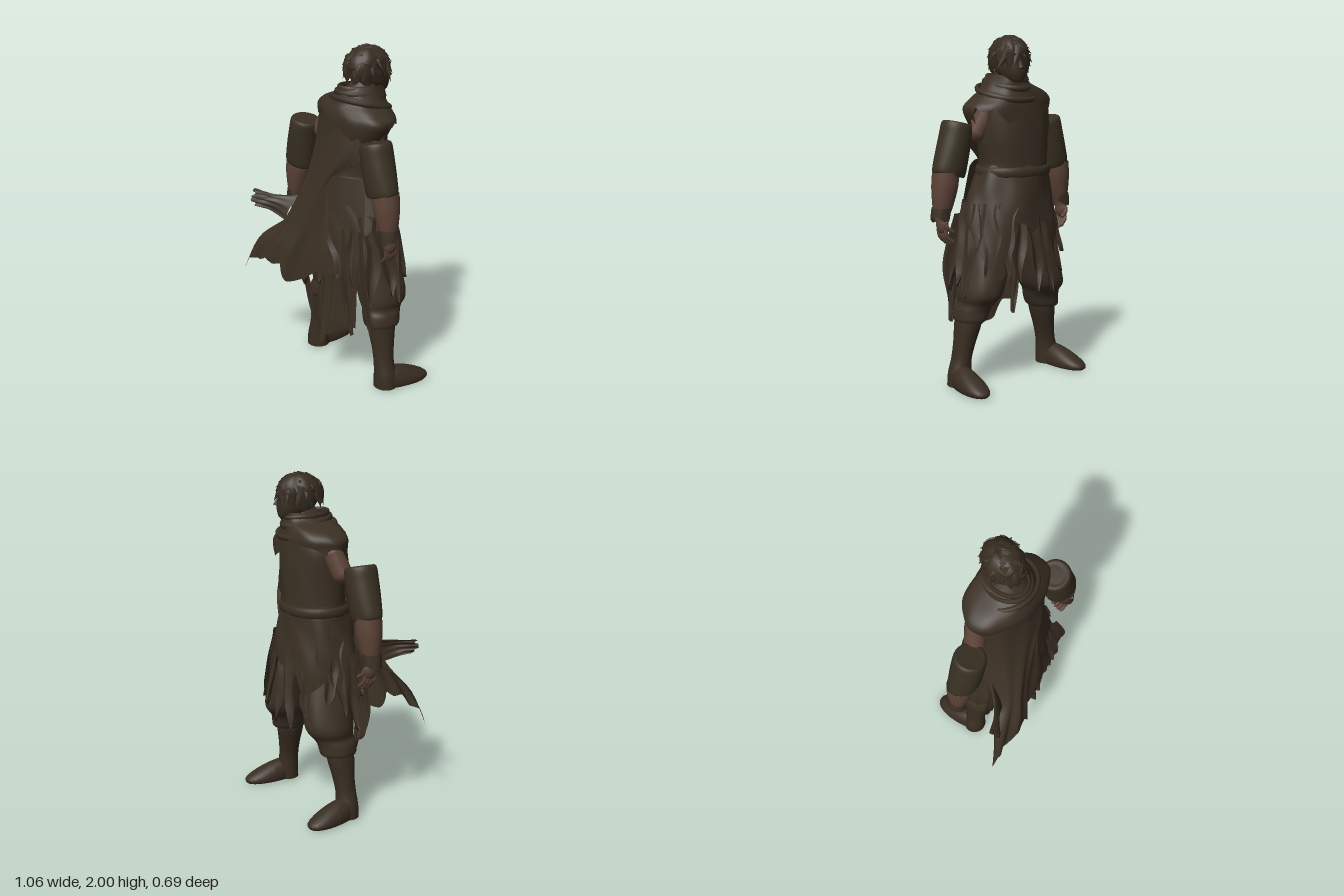
import * as THREE from 'three';
import { mergeVertices } from 'three/addons/utils/BufferGeometryUtils.js';

const mat = (name, color) => {
  const m = new THREE.MeshStandardMaterial({ color, side: THREE.DoubleSide });
  m.name = name;
  return m;
};

// Seeded random numbers
const hash = (n) => { const s = Math.sin(n * 127.1 + 3.7) * 43758.5453; return s - Math.floor(s); };
const noise = (t) => {
  const i = Math.floor(t), f = t - i;
  return hash(i) * (1 - f) + hash(i + 1) * f;
};

// Smooth interpolation through rows of numbers, t from 0 to 1
function spline(rows, t) {
  const n = rows.length - 1, x = Math.min(Math.max(t, 0), 1) * n;
  const i = Math.min(Math.floor(x), n - 1), f = x - i;
  const [a, b, c, d] = [i - 1, i, i + 1, i + 2].map((k) => rows[Math.min(Math.max(k, 0), n)]);
  return b.map((q, k) => q + 0.5 * f * (c[k] - a[k] +
    f * (2 * a[k] - 5 * q + 4 * c[k] - d[k] + f * (3 * (q - c[k]) + d[k] - a[k]))));
}

// Surface from a function of u and v
function surface(fn, nu, nv) {
  const pos = [], idx = [], w = nu + 1;
  for (let j = 0; j <= nv; j++) for (let i = 0; i <= nu; i++) pos.push(...fn(i / nu, j / nv));
  for (let j = 0; j < nv; j++) for (let i = 0; i < nu; i++) {
    const a = j * w + i;
    idx.push(a, a + 1, a + w, a + 1, a + w + 1, a + w);
  }
  let g = new THREE.BufferGeometry();
  g.setAttribute('position', new THREE.Float32BufferAttribute(pos, 3));
  g.setIndex(idx);
  g = mergeVertices(g, 1e-5);
  g.computeVertexNormals();
  return g;
}

// Rings [y, cx, cz, rx, rz] from top to bottom; folds ripple the sides, jag tears the hem
function loft(rings, { nu = 40, nv = 24, folds = 0, jag = 0, seed = 0, teeth = 18 } = {}) {
  return surface((u, v) => {
    const k = (u % 1) * teeth;
    const [y, cx, cz, rx, rz] = spline(rings, v * (1 - jag * noise(seed + k)));
    const a = u * Math.PI * 2;
    const r = 1 + folds * (Math.sin(a * 5 + y * 9 + seed) + 0.6 * Math.sin(a * 9 - y * 17));
    return [cx + Math.cos(a) * rx * r, y, cz + Math.sin(a) * rz * r];
  }, nu, nv);
}

// Cloth sheet through rows of [x, y, z] points, with a torn lower edge
function sheet(rows, { jag = 0.2, seed = 0, teeth = 14, nu = 56 } = {}) {
  return surface((u, v) => {
    const t = v * (1 - jag * noise(seed + u * teeth));
    const p = spline(rows.map((r) => spline(r, u)), t);
    const ripple = 0.012 * t * Math.sin(u * 26 + t * 5);
    return [p[0], p[1], p[2] + ripple];
  }, nu, 28);
}

export function createModel() {
  const root = new THREE.Group();
  root.name = 'wanderer';
  const cloth = mat('dark cloth', 0x3b3024);
  const sleeveMat = mat('sleeve cloth', 0x393022);
  const boots = mat('boot leather', 0x382d21);
  const hair = mat('dark hair', 0x382e22);
  const skin = mat('skin', 0x5c4337);
  const add = (name, geo, m, parent = root) => {
    const mesh = new THREE.Mesh(geo, m);
    mesh.name = name;
    parent.add(mesh);
    return mesh;
  };

  // Tunic and draped mantle
  add('tunic', loft([
    [1.8, 0.08, -0.13, 0.065, 0.08], [1.72, 0.06, -0.11, 0.11, 0.12], [1.66, 0.03, -0.1, 0.19, 0.15],
    [1.58, 0.01, -0.1, 0.225, 0.165], [1.42, 0.01, -0.1, 0.225, 0.17], [1.25, 0, -0.095, 0.215, 0.175],
    [1.1, 0.01, -0.08, 0.25, 0.195]], { folds: 0.012 }), cloth);
  add('mantle', loft([
    [1.775, 0.07, -0.115, 0.1, 0.135], [1.73, 0.065, -0.1, 0.125, 0.15], [1.685, 0.02, -0.095, 0.2, 0.162],
    [1.64, 0.02, -0.09, 0.26, 0.175], [1.58, 0.045, -0.09, 0.285, 0.18], [1.46, 0.02, -0.095, 0.25, 0.185]],
  { folds: 0.014, jag: 0.28, nu: 72, teeth: 24, seed: 4 }), cloth);
  for (const [y, rx, rz, tilt] of [[1.755, 0.098, 0.135, 0.12], [1.72, 0.122, 0.148, 0.25], [1.675, 0.175, 0.166, 0.4]]) {
    const fold = add('scarfFold', new THREE.TorusGeometry(1, 0.08, 8, 36), cloth);
    fold.scale.set(rx, rz, 0.22);
    fold.rotation.x = Math.PI / 2 - tilt * 0.6;
    fold.position.set(0.06, y, -0.105);
  }
  const belt = add('belt', new THREE.TorusGeometry(1, 0.06, 8, 36), cloth);
  belt.scale.set(0.222, 0.185, 0.5);
  belt.rotation.x = Math.PI / 2;
  belt.position.set(0, 1.23, -0.09);

  // Torn skirt with hanging rags
  add('skirt', loft([
    [1.27, 0, -0.09, 0.212, 0.18], [1.1, 0.02, -0.08, 0.262, 0.205], [0.92, 0.03, -0.08, 0.31, 0.222],
    [0.62, 0.04, -0.08, 0.345, 0.245]], { folds: 0.025, jag: 0.45, nu: 96, teeth: 20, seed: 11 }), cloth);
  for (let k = 0; k < 18; k++) {
    const a = (k + 0.5 * hash(k)) / 18 * Math.PI * 2;
    const len = 0.34 + 0.22 * hash(k + 40), w = 0.045 + 0.035 * hash(k + 70);
    add('hangingRag', surface((u, v) => {
      const r = 0.27 + 0.1 * v, half = w * (1 - v ** 4) * (0.8 + 0.2 * Math.sin(v * 11 + k));
      const s = (u - 0.5) * 2 * half + 0.015 * Math.sin(v * 6 + k * 2);
      const bow = 0.012 * Math.cos(u * Math.PI * 2) - s * s * 1.5;
      return [0.035 + Math.cos(a) * (r + bow) - Math.sin(a) * s, 1.06 - len * v,
        -0.08 + Math.sin(a) * (r * 0.7 + bow) + Math.cos(a) * s];
    }, 6, 12), cloth);
  }

  // Cape falling behind, with its edge flung out to one side
  add('cape', sheet([
    [[-0.22, 1.63, -0.06], [-0.13, 1.66, 0.04], [0.02, 1.67, 0.07], [0.16, 1.66, 0.04], [0.27, 1.62, -0.05]],
    [[-0.24, 1.42, -0.05], [-0.15, 1.42, 0.06], [0, 1.42, 0.1], [0.14, 1.4, 0.09], [0.26, 1.4, 0]],
    [[-0.26, 1.18, 0], [-0.18, 1.18, 0.12], [-0.06, 1.18, 0.15], [0.03, 1.2, 0.14], [0.09, 1.25, 0.11]],
    [[-0.3, 0.95, 0.12], [-0.25, 0.93, 0.22], [-0.16, 0.93, 0.23], [-0.04, 0.93, 0.18], [0.09, 0.96, 0.15]],
    [[-0.45, 0.78, 0.28], [-0.34, 0.77, 0.29], [-0.21, 0.77, 0.29], [-0.08, 0.77, 0.21], [0.11, 0.8, 0.17]],
    [[-0.54, 0.55, 0.35], [-0.42, 0.63, 0.33], [-0.24, 0.6, 0.32], [-0.1, 0.56, 0.23], [0.13, 0.64, 0.18]]],
  { jag: 0.13, seed: 21, teeth: 11 }), cloth);
  add('capeHorn', sheet([
    [[-0.26, 1.06, 0.08], [-0.28, 0.99, 0.16], [-0.29, 0.91, 0.19]],
    [[-0.36, 1.06, 0.2], [-0.37, 1.02, 0.24], [-0.38, 0.96, 0.24]],
    [[-0.49, 1.08, 0.29], [-0.48, 1.03, 0.33], [-0.45, 0.99, 0.34]]], { jag: 0.2, seed: 8, teeth: 4, nu: 14 }), cloth);
  // Long tail between the legs
  add('capeTail', sheet([
    [[-0.1, 1.24, 0.07], [0.02, 1.25, 0.11], [0.12, 1.28, 0.1], [0.25, 1.26, 0]],
    [[-0.1, 0.9, 0.1], [0.02, 0.9, 0.14], [0.13, 0.9, 0.13], [0.29, 0.92, 0.04]],
    [[-0.11, 0.6, 0.07], [0.02, 0.6, 0.13], [0.13, 0.6, 0.12], [0.26, 0.62, 0.07]],
    [[-0.12, 0.4, 0.07], [0.03, 0.22, 0.16], [0.11, 0.26, 0.14], [0.26, 0.36, 0.08]]],
  { jag: 0.13, seed: 33, teeth: 10 }), cloth);
  for (const [x, y, z] of [[-0.16, 0.3, 0.09], [-0.26, 0.44, 0.05], [0.24, 0.32, 0.09], [0.36, 0.35, 0.04]]) {
    add('tailRag', sheet([
      [[x * 0.8 - 0.02, 0.98, z + 0.02], [x * 0.8 + 0.02, 0.98, z + 0.03]],
      [[x - 0.07, 0.7, z + 0.03], [x + 0.02, 0.7, z + 0.05]],
      [[x - 0.055, 0.5, z + 0.01], [x + 0.015, 0.5, z + 0.02]],
      [[x, y, z], [x + 0.015, y, z]]], { jag: 0.05, nu: 6 }), cloth);
  }

  // Head, hair and face
  const head = new THREE.Group();
  head.name = 'head';
  head.position.set(0.075, 1.86, -0.145);
  head.rotation.y = -0.2;
  root.add(head);
  add('skull', loft([
    [0.115, 0, 0, 0.002, 0.002], [0.1, 0, 0, 0.06, 0.07], [0.05, 0, 0, 0.095, 0.12], [-0.02, 0, -0.005, 0.095, 0.122],
    [-0.08, 0, -0.03, 0.078, 0.098], [-0.125, 0, -0.06, 0.04, 0.05], [-0.13, 0, -0.06, 0.002, 0.002]], { nu: 28 }), hair, head);
  const nose = add('nose', new THREE.ConeGeometry(0.018, 0.06, 8), hair, head);
  nose.position.set(0, -0.02, -0.128);
  nose.rotation.x = 0.3;
  add('hairCap', loft([
    [0.128, 0, 0, 0.002, 0.002], [0.116, 0, 0, 0.06, 0.07], [0.06, 0, 0.005, 0.1, 0.125], [-0.01, 0, 0.015, 0.105, 0.13],
    [-0.08, 0, 0.025, 0.085, 0.105]], { folds: 0.035, jag: 0.3, nu: 60, teeth: 20, seed: 5 }), hair, head);
  for (let k = 0; k < 34; k++) {
    const a = k * 2.4, h = 0.97 - 1.25 * (k / 34), c = Math.sqrt(1 - h * h);
    const n = new THREE.Vector3(Math.cos(a) * c, h, Math.sin(a) * c);
    const swirl = hash(k + 9) - 0.5;
    const dir = new THREE.Vector3(Math.cos(a) * h - Math.sin(a) * swirl, -c, Math.sin(a) * h + Math.cos(a) * swirl)
      .addScaledVector(n, 0.3).normalize();
    // Flat tapered lock lying along the scalp
    const lock = add('hairLock', new THREE.ConeGeometry(0.04, 0.11, 8), hair, head);
    lock.position.set(n.x * 0.1, n.y * 0.118, n.z * 0.127 + 0.005);
    const side = new THREE.Vector3().crossVectors(dir, n).normalize();
    const out = new THREE.Vector3().crossVectors(side, dir);
    lock.quaternion.setFromRotationMatrix(new THREE.Matrix4().makeBasis(side, dir, out));
    lock.scale.z = 0.55;
  }
  const fringe = add('fringe', new THREE.ConeGeometry(0.04, 0.15, 8), hair, head);
  fringe.position.set(0.085, 0, -0.08);
  fringe.rotation.z = -2.5;
  fringe.scale.z = 0.6;

  for (const s of [-1, 1]) {
    const side = s > 0 ? 'left' : 'right';
    // Arm with a loose sleeve, bare forearm and hand
    const shoulder = add(side + 'Shoulder', new THREE.CapsuleGeometry(0.06, 0.12, 6, 16), skin);
    shoulder.position.set(s * 0.218, 1.51, -0.075);
    shoulder.rotation.set(-0.3, 0, s * 0.4);
    const sleeve = add(side + 'Sleeve', loft([
      [0.15, 0, 0, 0.002, 0.002], [0.149, 0, 0, 0.05, 0.055], [0.143, 0, 0, 0.09, 0.088], [0.06, 0, 0, 0.094, 0.094],
      [-0.06, 0, 0, 0.1, 0.09], [-0.141, 0, 0, 0.1, 0.08], [-0.145, 0, 0, 0.07, 0.06], [-0.146, 0, 0, 0.002, 0.002]],
    { nu: 32, nv: 35 }), sleeveMat);
    sleeve.position.set(s * 0.368, 1.362, 0);
    sleeve.rotation.z = s * 0.24;
    add(side + 'Forearm', loft([
      [1.24, s * 0.425, -0.005, 0.078, 0.074], [1.16, s * 0.432, -0.005, 0.077, 0.075], [1.07, s * 0.444, -0.005, 0.064, 0.062],
      [0.99, s * 0.455, -0.005, 0.044, 0.046], [0.96, s * 0.458, -0.01, 0.036, 0.045]], { nu: 24 }), skin);
    add(side + 'Wristband', loft([
      [1.04, s * 0.455, -0.005, 0.056, 0.057], [1, s * 0.463, -0.005, 0.053, 0.056], [0.95, s * 0.47, -0.005, 0.05, 0.054]],
    { folds: 0.03, jag: 0.5, seed: 3, nu: 40, teeth: 9 }), cloth);
    const palm = add(side + 'Palm', new THREE.SphereGeometry(1, 16, 12), skin);
    palm.scale.set(0.027, 0.055, 0.046);
    palm.position.set(s * 0.46, 0.945, -0.015);
    for (let f = 0; f < 5; f++) {
      const z = f < 4 ? 0.018 - f * 0.022 : -0.055, drop = f < 4 ? 0.075 + 0.012 * Math.sin(f + 0.4) : 0.05;
      const y = f < 4 ? 0.92 : 0.955;
      const path = new THREE.CatmullRomCurve3([new THREE.Vector3(s * 0.463, y, z), new THREE.Vector3(s * 0.457, y - drop * 0.55, z - 0.006),
        new THREE.Vector3(s * 0.425, y - drop, z - 0.012)]);
      add(side + 'Finger', new THREE.TubeGeometry(path, 8, 0.0115, 8), skin);
      const tip = add(side + 'Fingertip', new THREE.SphereGeometry(0.0115, 8, 6), skin);
      tip.position.copy(path.getPoint(1));
    }

    // Baggy trouser leg, cuff, boot and foot
    const leg = new THREE.Group();
    leg.name = side + 'Leg';
    leg.position.x = 0.037;
    root.add(leg);
    add(side + 'Trouser', loft([
      [1.05, s * 0.09, -0.08, 0.11, 0.13], [0.85, s * 0.15, -0.09, 0.125, 0.145], [0.68, s * 0.2, -0.11, 0.125, 0.15],
      [0.55, s * 0.235, -0.115, 0.122, 0.15], [0.49, s * 0.25, -0.1, 0.1, 0.125], [0.45, s * 0.265, -0.085, 0.1, 0.118],
      [0.39, s * 0.28, -0.08, 0.09, 0.108], [0.385, s * 0.28, -0.08, 0.06, 0.06]], { folds: 0.012, nv: 32 }), cloth, leg);
    add(side + 'Boot', loft([
      [0.45, s * 0.275, -0.07, 0.078, 0.082], [0.36, s * 0.288, -0.07, 0.076, 0.083], [0.25, s * 0.31, -0.065, 0.064, 0.067],
      [0.16, s * 0.328, -0.06, 0.058, 0.062], [0.08, s * 0.342, -0.06, 0.068, 0.066], [0.005, s * 0.345, -0.06, 0.072, 0.068]],
    { nu: 28 }), boots, leg);
    const foot = new THREE.SphereGeometry(1, 28, 20);
    const p = foot.attributes.position;
    for (let i = 0; i < p.count; i++) {
      const z = p.getZ(i), y = Math.max(p.getY(i), -0.35);
      const full = Math.pow(1.001 - z * z, -0.07);
      p.setXYZ(i, p.getX(i) * full * (0.073 - 0.01 * z), (y * full + 0.35) * (0.082 + 0.04 * z), z * 0.178);
    }
    foot.computeVertexNormals();
    const shoe = add(side + 'Foot', foot, boots, leg);
    shoe.position.set(s * 0.362, 0.003, -0.17);
    shoe.rotation.y = -s * 0.12;
  }
  return root;
}
